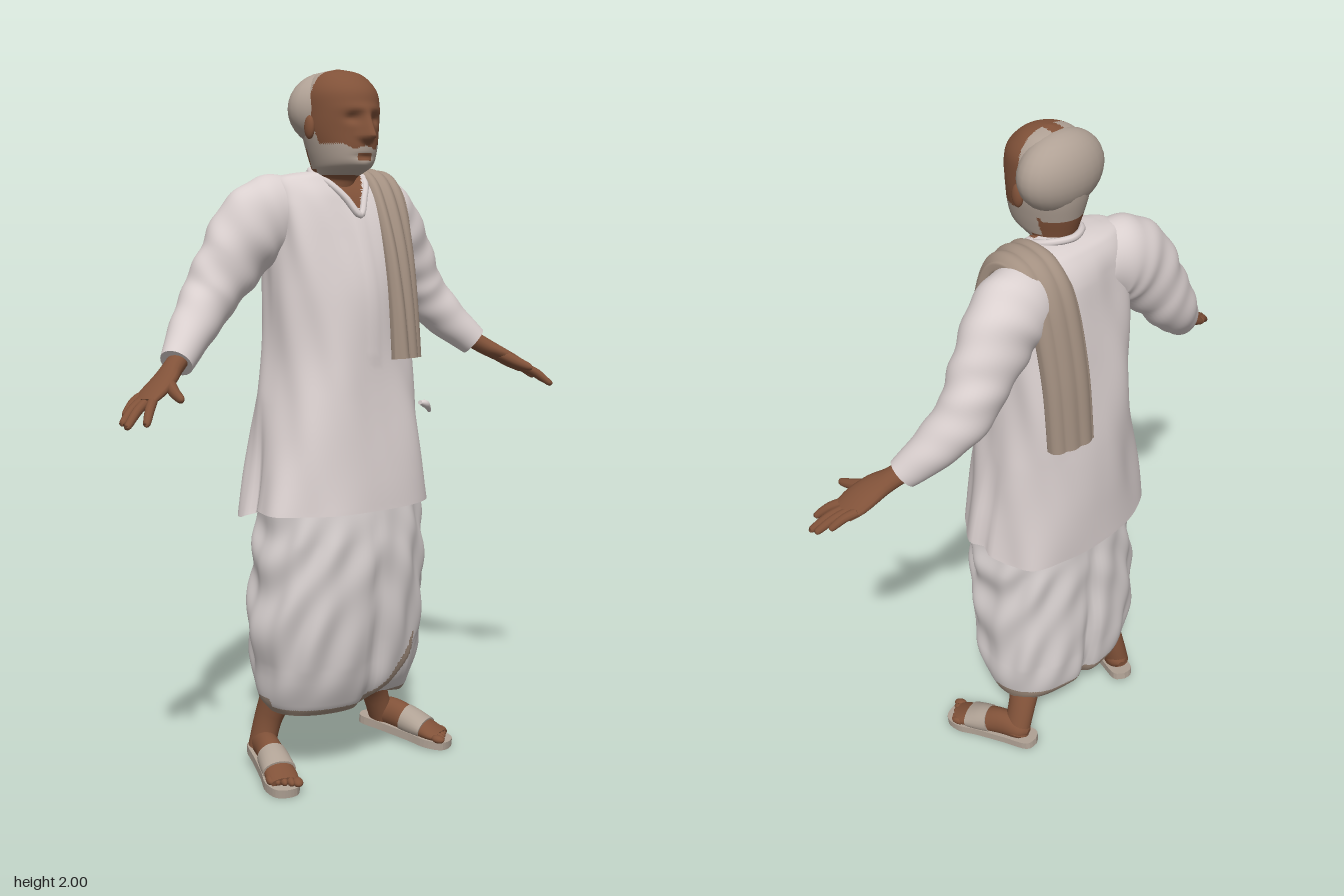
import * as THREE from 'three';

const mat = (name, color) => Object.assign(new THREE.MeshStandardMaterial({ color }), { name });
const V = (x, y, z) => new THREE.Vector3(x, y, z);
const { sin, cos, abs, exp, min, max, sign, PI } = Math;
const pow = (c, e) => sign(c) * abs(c) ** e;
const bump = (d, w) => exp(-((d / w) ** 2));
const clamp = t => max(0, min(1, t));

// Catmull-Rom blend through rows of numbers, t from 0 to 1
function sample(rows, t) {
  const f = t * (rows.length - 1), i = min(Math.floor(f), rows.length - 2), u = f - i;
  const at = k => rows[max(0, min(rows.length - 1, k))];
  return rows[i].map((_, k) => {
    const [a, b, c, d] = [at(i - 1)[k], at(i)[k], at(i + 1)[k], at(i + 2)[k]];
    return b + 0.5 * u * (c - a + u * (2 * a - 5 * b + 4 * c - d + u * (3 * (b - c) + d - a)));
  });
}

// Skin over rings ring(t, angle); paint(centroid) picks a material; recess hollows the start cap
function surface(name, mats, n, m, ring, { paint = () => 0, recess = 0 } = {}) {
  const pts = [], lists = mats.map(() => []);
  for (let j = 0; j <= m; j++)
    for (let i = 0; i < n; i++) pts.push(ring(j / m, (i / n) * PI * 2));
  const tri = (a, b, c, k) => lists[k ?? paint(V(0, 0, 0).add(pts[a]).add(pts[b]).add(pts[c]).divideScalar(3))].push(a, b, c);
  for (let j = 0; j < m; j++)
    for (let i = 0; i < n; i++) {
      const A = j * n + i, B = j * n + (i + 1) % n, C = B + n, D = A + n;
      tri(A, D, C); tri(A, C, B);
    }
  for (const [j, top] of [[0, false], [m, true]]) {
    const base = pts.length, c = V(0, 0, 0);
    for (let i = 0; i < n; i++) { const p = pts[j * n + i].clone(); pts.push(p); c.addScaledVector(p, 1 / n); }
    if (!top) c.y += recess;
    pts.push(c);
    for (let i = 0; i < n; i++) {
      const a = base + i, b = base + (i + 1) % n;
      top ? tri(base + n, b, a, 0) : tri(base + n, a, b, 0);
    }
  }
  const g = new THREE.BufferGeometry().setFromPoints(pts);
  g.setIndex(lists.flat());
  let start = 0;
  lists.forEach((l, k) => { g.addGroup(start, l.length, k); start += l.length; });
  g.computeVertexNormals();
  const mesh = new THREE.Mesh(g, mats.length > 1 ? mats : mats[0]);
  mesh.name = name;
  return mesh;
}

// Upright body from rows [y, xMin, xMax, zBack, zFront]
const upright = (name, mats, rows, n, m, e, deform, opt) => surface(name, mats, n, m, (t, a) => {
  const [y, x0, x1, z0, z1] = sample(rows, t);
  const p = V((x0 + x1) / 2 + (x1 - x0) / 2 * pow(cos(a), e), y, (z0 + z1) / 2 + (z1 - z0) / 2 * pow(sin(a), e));
  deform(p, a, V(cos(a), 0, sin(a)));
  return p;
}, opt);

// Limb from rows [x, y, z, radiusU, radiusV]
function limb(name, m, rows, { ref = V(0, 0, 1), n = 16, steps = 12, wrinkle = 0 } = {}) {
  return surface(name, [m], n, steps, (t, a) => {
    const [x, y, z, ru, rv] = sample(rows, t);
    const q = V(...sample(rows, min(1, t + 0.01))).sub(V(...sample(rows, max(0, t - 0.01)))).normalize();
    const u = q.clone().cross(ref).normalize(), v = u.clone().cross(q);
    const w = 1 + wrinkle * sin(t * PI) * (sin(t * 44 + 2.6 * cos(a + 1)) + 0.6 * sin(t * 25 + 3 * a));
    return V(x, y, z).addScaledVector(u, ru * w * cos(a)).addScaledVector(v, rv * w * sin(a));
  });
}

function ball(name, m, x, y, z, rx, ry, rz) {
  const b = new THREE.Mesh(new THREE.SphereGeometry(1, 24, 16), m);
  b.name = name; b.position.set(x, y, z); b.scale.set(rx, ry, rz);
  return b;
}

export function createModel() {
  const model = new THREE.Group();
  model.name = 'standingMan';
  const skin = mat('skin', 0x815239), white = mat('shirtWhite', 0xdad0cf), wrap = mat('wrapWhite', 0xd6cfce);
  const tan = mat('scarfTan', 0xa39081), hair = mat('greyHair', 0xb0a195), border = mat('hemTan', 0xa08c7c);
  const sandal = mat('sandalGrey', 0xb0a295), dark = mat('eyeDark', 0x4a3022);

  // Head and neck with beard and lower hairline painted on
  const cx = -0.015;
  const headRows = [[1.6, .06, -.05, .05], [1.68, .06, -.05, .06], [1.705, .062, -.05, .07], [1.72, .068, -.052, .105],
    [1.74, .078, -.058, .142], [1.78, .09, -.07, .152], [1.83, .1, -.082, .152], [1.88, .102, -.086, .155],
    [1.93, .1, -.08, .147], [1.965, .083, -.06, .12], [1.988, .055, -.03, .085], [2, .004, .02, .03]]
    .map(([y, r, b, f]) => [y, cx - r, cx + r, b, f]);
  const beard = p => {
    const x = abs(p.x - cx), { y, z } = p;
    if (x < .024 && z > .12 && y > 1.75 && y < 1.77) return 0;
    const jaw = y > 1.712 && y < 1.775 + .02 * clamp((x - .03) / .03) && z > .02;
    const sideburn = y > 1.73 && y < 1.9 && z > -.01 && z < .06 + (1.8 - y) * .35 && x > .05;
    const moustache = z > .11 && x < .05 && y > 1.768 - x * .3 && y < 1.79 - x * .3;
    const nape = (z < .035 && y > 1.785 && x > .02) || (z < -.02 && y > 1.775);
    return jaw || sideburn || moustache || nape ? 1 : 0;
  };
  model.add(upright('head', [skin, hair], headRows, 112, 90, 1, (p, a) => {
    if (sin(a) <= 0) return;
    const x = p.x - cx, y = p.y;
    const ramp = y > 1.812 ? max(0, 1 - (y - 1.812) / .075) : max(0, 1 - (1.812 - y) / .018);
    p.z += .042 * ramp * bump(x, .012 + .007 * ramp);
    p.z += .006 * bump(y - 1.888, .012) * bump(x, .06) - .013 * bump(abs(x) - .038, .02) * bump(y - 1.862, .014);
    p.z += .007 * bump(y - 1.735, .015) * bump(x, .03) - .006 * bump(y - 1.76, .006) * bump(x, .03);
  }, { paint: beard }));
  model.add(ball('hair', hair, cx, 1.892, -.012, .133, .104, .082));
  for (const s of [1, -1]) {
    model.add(ball('ear', skin, cx + s * .105, 1.84, .034, .012, .032, .018));
    model.add(ball('eye', dark, cx + s * .037, 1.861, .125, .013, .004, .006));
  }

  // Long shirt with open neck, front placket and side slits
  const shirtRows = [[.79, -.302, .27, -.182, .215], [.88, -.278, .255, -.185, .208], [1, -.25, .236, -.187, .197],
    [1.2, -.214, .212, -.186, .175], [1.4, -.206, .206, -.174, .158], [1.55, -.203, .203, -.155, .122],
    [1.65, -.2, .2, -.14, .083], [1.7, -.185, .185, -.115, .045], [1.717, -.13, .13, -.09, .03], [1.725, -.06, .06, -.06, .01]];
  model.add(upright('shirt', [white, skin], shirtRows, 128, 100, .8, (p, a, out) => {
    const low = clamp((1.1 - p.y) / .3);
    let d = .004 * sin(5 * a + 9 * p.y) + .003 * sin(9 * a - 14 * p.y) + .006 * low * sin(7 * a + 1);
    d -= .02 * low * (bump(a - PI - .12, .07) + bump(min(a, 2 * PI - a), .07));
    d += .004 * bump(sin(a) > 0 ? p.x : 1, .014) * (p.y > 1.2 && p.y < 1.62 ? 1 : 0);
    p.addScaledVector(out, d * min(1, (1.73 - p.y) / .1));
    if (sin(a) < 0) p.y += .03 * low * max(-1, sin(a) * 3);
  }, { recess: .1, paint: p => p.z > 0 && p.y > 1.605 && abs(p.x) < (p.y - 1.605) * .55 ? 1 : 0 }));
  model.add(limb('pocketKnot', white, [[.165, 1.075, .176, .006, .008], [.185, 1.07, .174, .011, .012], [.2, 1.06, .168, .008, .01],
    [.215, 1.045, .158, .004, .006]]));

  // Collar band
  const collarPath = new THREE.CatmullRomCurve3([V(0, 1.73, -.075), V(.055, 1.727, -.05), V(.078, 1.713, 0), V(.064, 1.69, .048),
    V(.033, 1.65, .083), V(0, 1.603, .107), V(-.033, 1.65, .083), V(-.064, 1.69, .048), V(-.078, 1.713, 0), V(-.055, 1.727, -.05)], true);
  const collar = new THREE.Mesh(new THREE.TubeGeometry(collarPath, 80, .01, 8, true), white);
  collar.name = 'collar';
  model.add(collar);

  // Draped lower cloth with hanging folds, overlapping front panel and hem border
  const wrapRows = [[.86, -.24, .235, -.16, .185], [.7, -.256, .248, -.172, .207], [.55, -.272, .253, -.177, .205],
    [.42, -.278, .258, -.18, .192], [.3, -.26, .253, -.178, .17], [.225, -.24, .242, -.165, .14], [.19, -.222, .23, -.145, .115]].reverse();
  const edge = x => .2 + x * .5 + x * x * 3;
  model.add(upright('drapedCloth', [wrap, border], wrapRows, 160, 100, .85, (p, a, out) => {
    const fade = clamp((p.y - .19) / .15) * clamp((.9 - p.y) / .2), ca = cos(a);
    const swag = sin(30 * (p.y - .42 * (1 - abs(ca) ** 1.5)) + (ca > 0 ? 0 : 1.6) + .8 * sin(9 * p.y));
    let d = fade * (.008 * swag * (.3 + .7 * ca * ca) + .004 * sin(13 * a + 8 * p.y));
    const down = clamp((.85 - p.y) / .6);
    d -= .03 * down * bump(p.x - .01 + .03 * clamp((p.y - .4) / .4), .024) * (sin(a) > 0 ? .6 : 1);
    if (sin(a) > 0) d -= .014 * clamp((edge(p.x) - .015 - p.y) / .02) * clamp((p.x - .01) / .03) * clamp((.2 - p.x) / .04);
    p.addScaledVector(out, d);
    p.y += .025 * bump(p.y - .19, .05) * bump(p.x - .08, .07) * (sin(a) > 0 ? 1 : .3);
  }, {
    recess: .12,
    paint: p => p.y < (p.z < 0 ? .232 : .21)
      || (p.z > 0 && p.x > .005 && p.x < .165 && abs(p.y - edge(p.x) - .008) < .015 + p.x * .07) ? 1 : 0,
  }));

  // Folded scarf over the left shoulder, rows [y, z, xInner, xOuter, side drop, fold depth]
  const scarfRows = [[1.205, .18, .062, .228, .1, .016], [1.35, .165, .062, .225, .095, .016], [1.5, .135, .062, .22, .075, .016],
    [1.62, .088, .065, .213, .04, .014], [1.69, .035, .073, .207, .018, .01], [1.712, -.03, .078, .203, .01, .006],
    [1.69, -.098, .073, .2, .015, .005], [1.6, -.146, .062, .195, .02, .005], [1.4, -.18, .05, .185, .02, .005], [1.19, -.193, .042, .178, .02, .006]];
  model.add(surface('scarf', [tan], 96, 70, (t, a) => {
    const [y, z, x0, x1, drop, depth] = sample(scarfRows, t);
    const [ya, za] = sample(scarfRows, max(0, t - .01)), [yb, zb] = sample(scarfRows, min(1, t + .01));
    const q = V(0, yb - ya, zb - za).normalize(), out = V(1, 0, 0).cross(q);
    const s = (pow(cos(a), .8) + 1) / 2;
    const fold = sin(a) > 0 ? depth * (abs(sin(PI * (3 * s + .25 * sin(t * 5)))) - .5) : 0;
    return V(x0 + (x1 - x0) * s, y, z).addScaledVector(out, .023 * pow(sin(a), .5) + fold * min(1, abs(sin(a)) * 2) - drop * s * s);
  }));

  // Sleeves, hands, legs and sandalled feet on both sides
  for (const s of [1, -1]) {
    const side = s > 0 ? 'left' : 'right';
    const mir = rows => rows.map(([x, ...r]) => [s * x, ...r]);
    model.add(limb(side + 'Sleeve', white, mir([[.1, 1.615, -.055, .09, .08], [.18, 1.6, -.06, .116, .095], [.25, 1.555, -.067, .112, .09],
      [.32, 1.465, -.075, .094, .08], [.385, 1.375, -.076, .077, .074], [.46, 1.293, -.045, .062, .062], [.535, 1.218, .002, .046, .044]]),
    { n: 40, steps: 70, wrinkle: .03 }));

    const hand = new THREE.Group();
    hand.name = side + 'Hand';
    hand.add(limb('palm', skin, mir([[.5, 1.245, -.015, .026, .032], [.56, 1.205, .02, .025, .032], [.6, 1.18, .045, .021, .044],
      [.645, 1.153, .063, .018, .049], [.68, 1.132, .076, .012, .042]])));
    const fingers = [[.665, 1.143, .035, .728, 1.105, .068], [.67, 1.138, .058, .752, 1.09, .098],
      [.672, 1.135, .078, .752, 1.083, .122], [.665, 1.138, .098, .715, 1.09, .152]];
    for (const [x, y, z, X, Y, Z] of fingers)
      hand.add(limb('finger', skin, mir([[x, y, z, .012, .014], [(x + X) / 2, (y + Y) / 2 + .006, (z + Z) / 2, .012, .013],
        [X, Y, Z, .009, .01], [X + .004, Y - .003, Z + .002, .002, .002]]), { n: 10 }));
    hand.add(limb('thumb', skin, mir([[.595, 1.18, .06, .016, .018], [.612, 1.158, .115, .014, .016], [.62, 1.145, .16, .01, .011],
      [.62, 1.142, .17, .002, .002]]), { ref: V(0, 1, 0), n: 10 }));
    model.add(hand);

    const legRows = s > 0
      ? [[.1, .36, -.01, .055, .055], [.15, .24, -.04, .05, .053], [.2, .15, -.068, .038, .045], [.238, .06, -.078, .036, .045]]
      : [[-.16, .36, -.01, .055, .055], [-.18, .24, -.04, .05, .053], [-.2, .15, -.068, .038, .045], [-.218, .06, -.078, .036, .045]];
    model.add(limb(side + 'Leg', skin, legRows, { n: 24 }));

    const foot = new THREE.Group();
    foot.name = side + 'Foot';
    const up = { ref: V(0, 1, 0), n: 24, steps: 20 };
    foot.add(limb('footBody', skin, [[0, .045, -.135, .012, .01], [0, .05, -.11, .034, .034], [0, .055, -.04, .036, .045],
      [0, .042, .04, .042, .036], [0, .034, .1, .046, .022], [0, .031, .128, .04, .015]], up));
    for (let i = 0; i < 5; i++)
      foot.add(ball('toe', skin, s * (i * .018 - .034), .033, .138 - i * .008, i ? .0105 : .015, .012, .021));
    foot.add(limb('strap', sandal, [[0, .05, 0, .044, .043], [0, .045, .035, .047, .04], [0, .04, .075, .049, .031]], up));
    const outline = new THREE.Shape(new THREE.SplineCurve([[0, -.158], [.033, -.14], [.037, -.06], [.043, .04], [.05, .1], [.034, .148],
      [0, .16], [-.034, .148], [-.05, .1], [-.043, .04], [-.037, -.06], [-.033, -.14], [0, -.158]]
      .map(([x, y]) => new THREE.Vector2(x, y))).getPoints(48));
    const sole = new THREE.Mesh(new THREE.ExtrudeGeometry(outline, { depth: .024, bevelEnabled: false }), sandal);
    sole.name = 'sole';
    sole.rotation.x = PI / 2;
    sole.position.y = .024;
    foot.add(sole);
    foot.rotation.set(.1, s * .32, 0, 'YXZ');
    foot.position.set(s > 0 ? .262 : -.24, .017, .003);
    model.add(foot);
  }
  return model;
}
